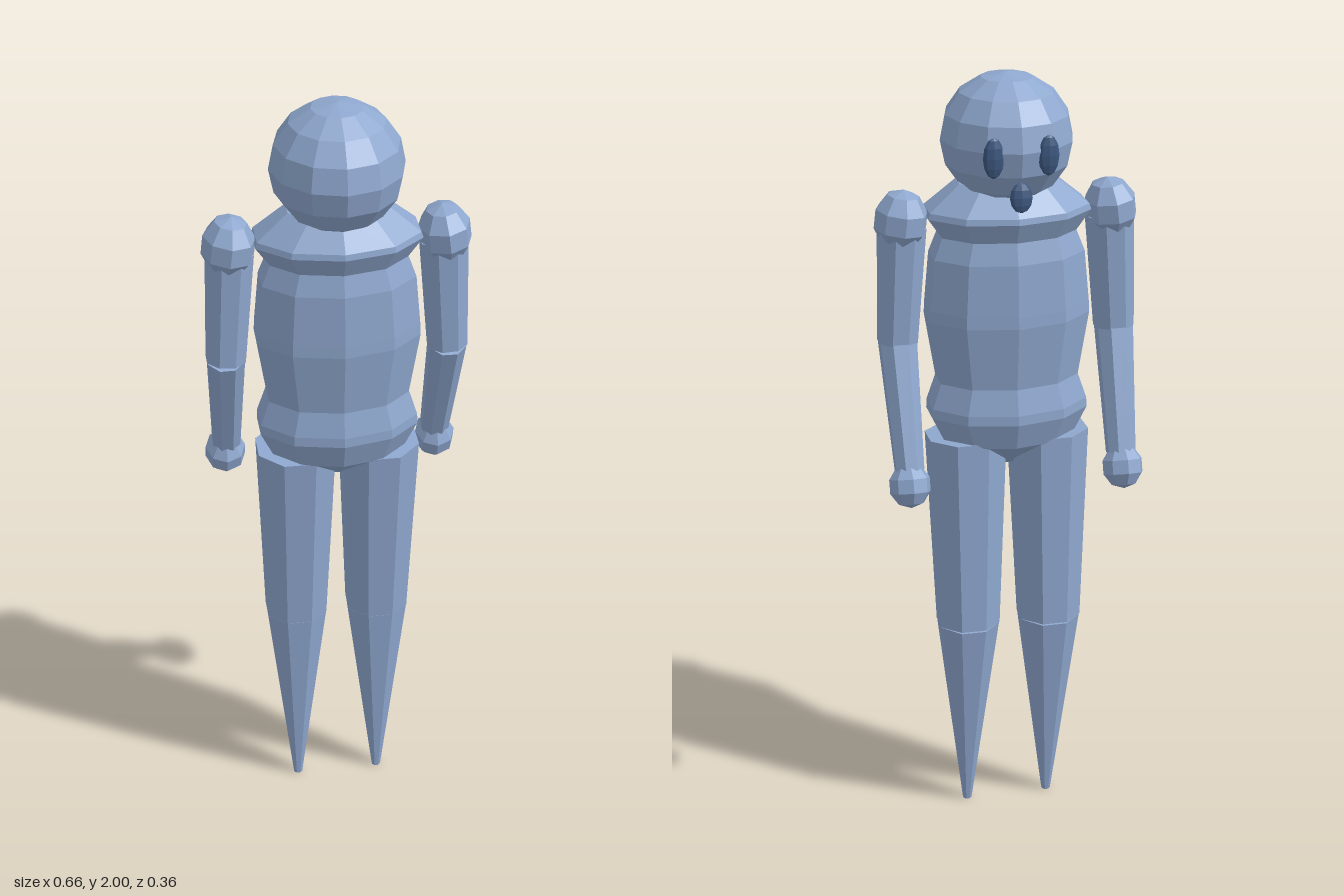
import * as THREE from 'three';

export function createModel() {
  const body = new THREE.MeshStandardMaterial({ color: 0x8fa8cf, flatShading: true });
  body.name = 'body blue';
  const dark = new THREE.MeshStandardMaterial({ color: 0x3d5880, flatShading: true });
  dark.name = 'face dark blue';
  const figure = new THREE.Group();
  figure.name = 'figure';

  const add = (name, geometry, material = body) => {
    const mesh = new THREE.Mesh(geometry, material);
    mesh.name = name;
    figure.add(mesh);
    return mesh;
  };

  // Oval ten-sided body section from [depth radius, height] rings, closed at both ends
  const section = (name, rings) => {
    const profile = [[0, rings[0][1]], ...rings, [0, rings.at(-1)[1]]];
    const g = new THREE.LatheGeometry(profile.map(([r, y]) => new THREE.Vector2(r, y)), 10);
    add(name, g.scale(1.52, 1, 1));
  };

  // Eight-sided tapered limb from one joint to the next
  const limb = (name, from, to, rFrom, rTo) => {
    const a = new THREE.Vector3(...from), b = new THREE.Vector3(...to);
    const g = new THREE.CylinderGeometry(rFrom, rTo, a.distanceTo(b), 8);
    g.rotateY(Math.PI / 8);
    const mesh = add(name, g);
    mesh.position.copy(a).add(b).multiplyScalar(0.5);
    mesh.quaternion.setFromUnitVectors(new THREE.Vector3(0, 1, 0), a.sub(b).normalize());
  };

  const ball = (name, size, position, across, down, material) => {
    const g = new THREE.SphereGeometry(1, across, down).scale(...size);
    const mesh = add(name, g, material);
    mesh.position.set(...position);
    return mesh;
  };

  // Head and trunk
  ball('head', [0.165, 0.16, 0.175], [0, 1.84, 0], 12, 8);
  section('collar', [[0.115, 1.6], [0.141, 1.655], [0.138, 1.67], [0.085, 1.735]]);
  section('chest', [[0.122, 1.225], [0.14, 1.39], [0.139, 1.42], [0.131, 1.55], [0.115, 1.61]]);
  section('pelvis', [[0.02, 0.99], [0.115, 1.065], [0.138, 1.135], [0.137, 1.16], [0.122, 1.225]]);

  // Mouth
  ball('mouth', [0.028, 0.037, 0.012], [0, 1.73, -0.158], 8, 6, dark).rotation.x = 0.1;

  for (const s of [1, -1]) {
    const side = s > 0 ? 'left' : 'right';

    // Eye
    ball(side + 'Eye', [0.026, 0.05, 0.012], [s * 0.067, 1.83, -0.157], 8, 6, dark);

    // Arm, bent forward at the elbow
    ball(side + 'Shoulder', [0.068, 0.077, 0.081], [s * 0.264, 1.646, 0], 8, 5).rotation.z = s * 0.12;
    limb(side + 'UpperArm', [s * 0.262, 1.63, 0], [s * 0.278, 1.335, 0], 0.062, 0.052);
    limb(side + 'Forearm', [s * 0.278, 1.34, 0], [s * 0.273, 1.03, -0.11], 0.05, 0.038);
    ball(side + 'Hand', [0.054, 0.057, 0.06], [s * 0.275, 0.995, -0.122], 8, 5).rotation.x = 0.34;

    // Leg, tapering to a point
    limb(side + 'Thigh', [s * 0.107, 1.072, 0], [s * 0.108, 0.55, -0.02], 0.106, 0.084);
    limb(side + 'Shin', [s * 0.108, 0.55, -0.018], [s * 0.11, 0, 0], 0.083, 0.012);
  }
  return figure;
}
